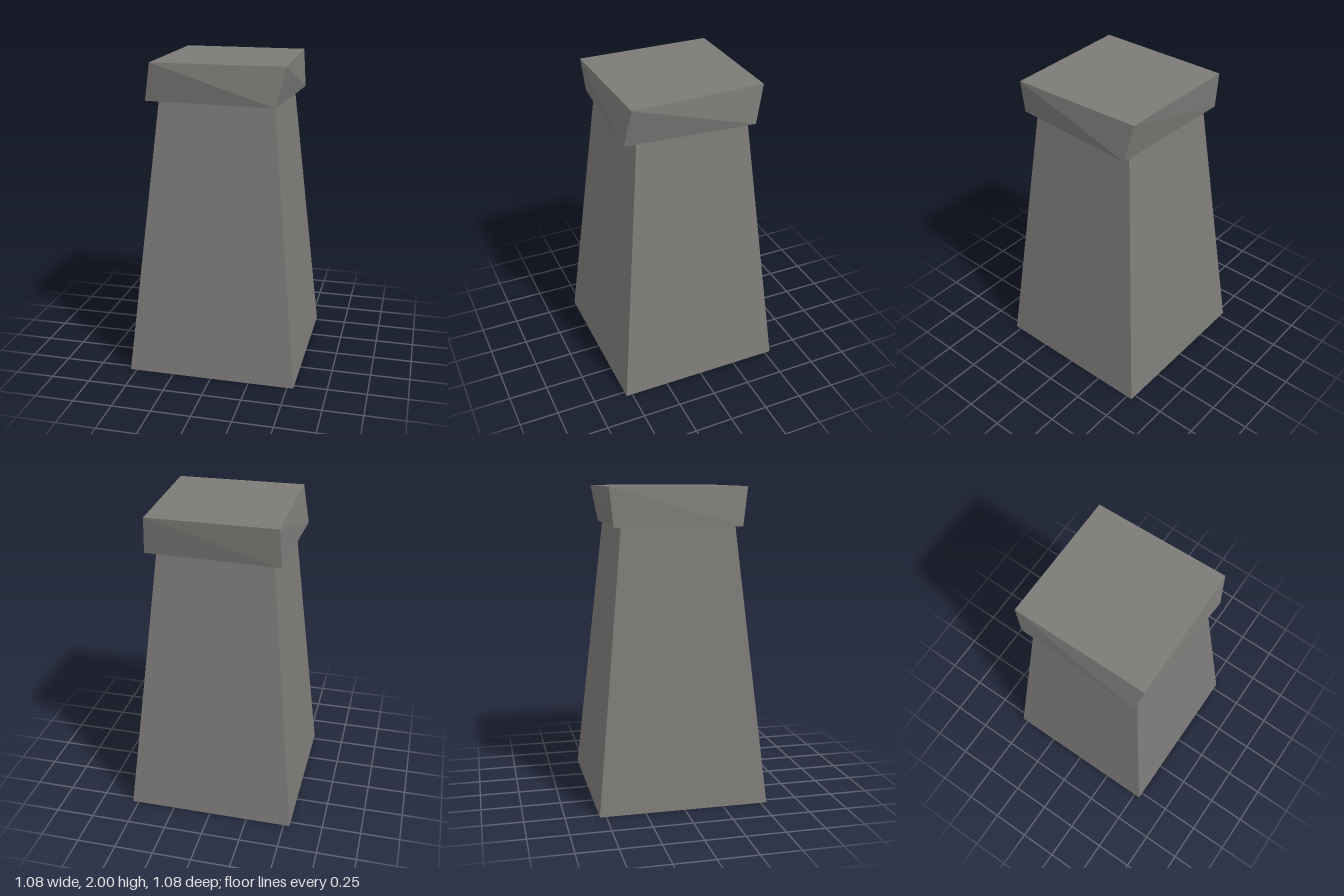
import * as THREE from 'three';

// Closed four-sided block between two loops of [x, z] corners,
// ordered front left, front right, back right, back left on the page.
function fourSidedBlock(name, lower, y0, upper, y1, material) {
  const b = lower.map(([x, z]) => [x, y0, z]);
  const t = upper.map(([x, z]) => [x, y1, z]);
  const corners = [];
  for (let i = 0; i < 4; i++) {
    const j = (i + 1) % 4;
    corners.push(t[i], b[i], b[j], t[i], b[j], t[j]);
  }
  corners.push(t[0], t[1], t[2], t[0], t[2], t[3]); // top
  corners.push(b[0], b[2], b[1], b[0], b[3], b[2]); // underside
  const geometry = new THREE.BufferGeometry();
  geometry.setAttribute('position', new THREE.Float32BufferAttribute(corners.flat(), 3));
  geometry.computeVertexNormals(); // unshared corners give flat faces
  const mesh = new THREE.Mesh(geometry, material);
  mesh.name = name;
  return mesh;
}

const square = (r) => [[-r, r], [r, r], [r, -r], [-r, -r]];

export function createModel() {
  const stone = new THREE.MeshStandardMaterial({ color: 0x7d7b78 });
  stone.name = 'grey stone';

  const model = new THREE.Group();
  model.name = 'stonePillar';

  // Tapered shaft
  model.add(fourSidedBlock('shaft', square(0.54), 0, square(0.36), 1.76, stone));

  // Slightly twisted, rough-hewn capstone
  const capLower = [[-0.44, 0.385], [0.38, 0.445], [0.43, -0.38], [-0.412, -0.412]];
  const capUpper = [[-0.393, 0.427], [0.435, 0.413], [0.407, -0.43], [-0.4, -0.435]];
  model.add(fourSidedBlock('capstone', capLower, 1.76, capUpper, 2, stone));

  return model;
}
